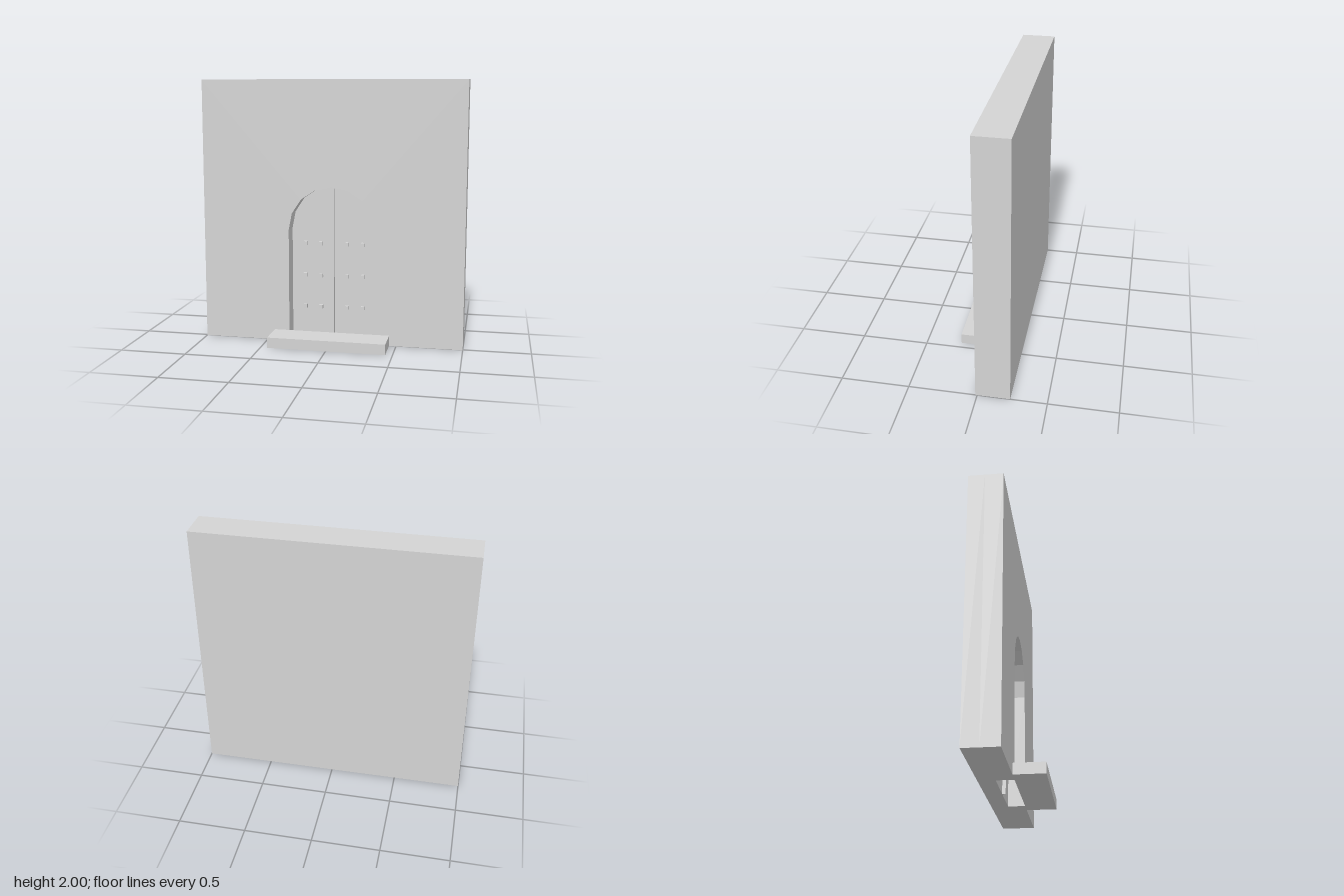
import * as THREE from 'three';

const HALF = 0.33;      // half width of the doorway
const SPRING = 0.867;   // height where the arch begins
const RISE = 0.333;     // height of the arch
const WALL_BACK = -0.237;
const WALL_FRONT = 0.013;
const RECESS = -0.118;  // back of the doorway recess
const DOOR = -0.113;    // front face of the door leaves

// Points along the arch from angle a to b, in 22.5 degree steps
function archPoints(a, b) {
  const steps = Math.round(Math.abs(b - a) / (Math.PI / 8));
  return Array.from({ length: steps + 1 }, (_, i) => {
    const t = a + ((b - a) * i) / steps;
    return new THREE.Vector2(HALF * Math.cos(t), SPRING + RISE * Math.sin(t));
  });
}

function extrude(points, z0, z1) {
  const geometry = new THREE.ExtrudeGeometry(new THREE.Shape(points), {
    depth: z1 - z0, bevelEnabled: false,
  });
  return geometry.translate(0, 0, z0);
}

function box(x0, x1, y0, y1, z0, z1) {
  return new THREE.BoxGeometry(x1 - x0, y1 - y0, z1 - z0)
    .translate((x0 + x1) / 2, (y0 + y1) / 2, (z0 + z1) / 2);
}

// Box without its back face
function openBackBox(...bounds) {
  const geometry = box(...bounds);
  geometry.setIndex(Array.from(geometry.index.array).slice(0, 30));
  geometry.clearGroups();
  return geometry;
}

export function createModel() {
  const model = new THREE.Group();
  model.name = 'archedDoorway';
  const stone = new THREE.MeshStandardMaterial({ color: 0xd4d4d4, side: THREE.DoubleSide });
  stone.name = 'lightGrey';

  const add = (name, geometry, parent = model) => {
    const mesh = new THREE.Mesh(geometry, stone);
    mesh.name = name;
    parent.add(mesh);
  };
  const v = (x, y) => new THREE.Vector2(x, y);

  // Wall: solid back and a front layer with the arched opening
  const wall = new THREE.Group();
  wall.name = 'wall';
  model.add(wall);
  add('wallBack', box(-1, 1, 0, 2, WALL_BACK, RECESS), wall);
  add('wallFront', extrude([
    v(HALF, 0), v(1, 0), v(1, 2), v(-1, 2), v(-1, 0), v(-HALF, 0),
    ...archPoints(Math.PI, 0),
  ], RECESS, WALL_FRONT), wall);

  // Two door leaves filling the arch
  add('leftDoorLeaf', extrude(
    [v(0, 0), v(HALF, 0), ...archPoints(0, Math.PI / 2)], RECESS, DOOR));
  add('rightDoorLeaf', extrude(
    [v(-HALF, 0), v(0, 0), ...archPoints(Math.PI / 2, Math.PI)], RECESS, DOOR));

  // Raised strip where the leaves meet
  add('centreStrip', box(-0.004, 0.004, 0, 1.18, DOOR, DOOR + 0.025));

  // Square studs in three rows
  const studs = new THREE.Group();
  studs.name = 'studs';
  model.add(studs);
  for (const y of [0.25, 0.5, 0.75]) {
    for (const x of [-0.226, -0.102, 0.102, 0.226]) {
      add('stud', box(x - 0.014, x + 0.014, y - 0.015, y + 0.015, DOOR, DOOR + 0.025), studs);
    }
  }

  // Doorstep in front of the wall, open where it meets the wall
  add('doorstep', openBackBox(-0.447, 0.447, 0, 0.08, WALL_FRONT, 0.237));

  return model;
}
